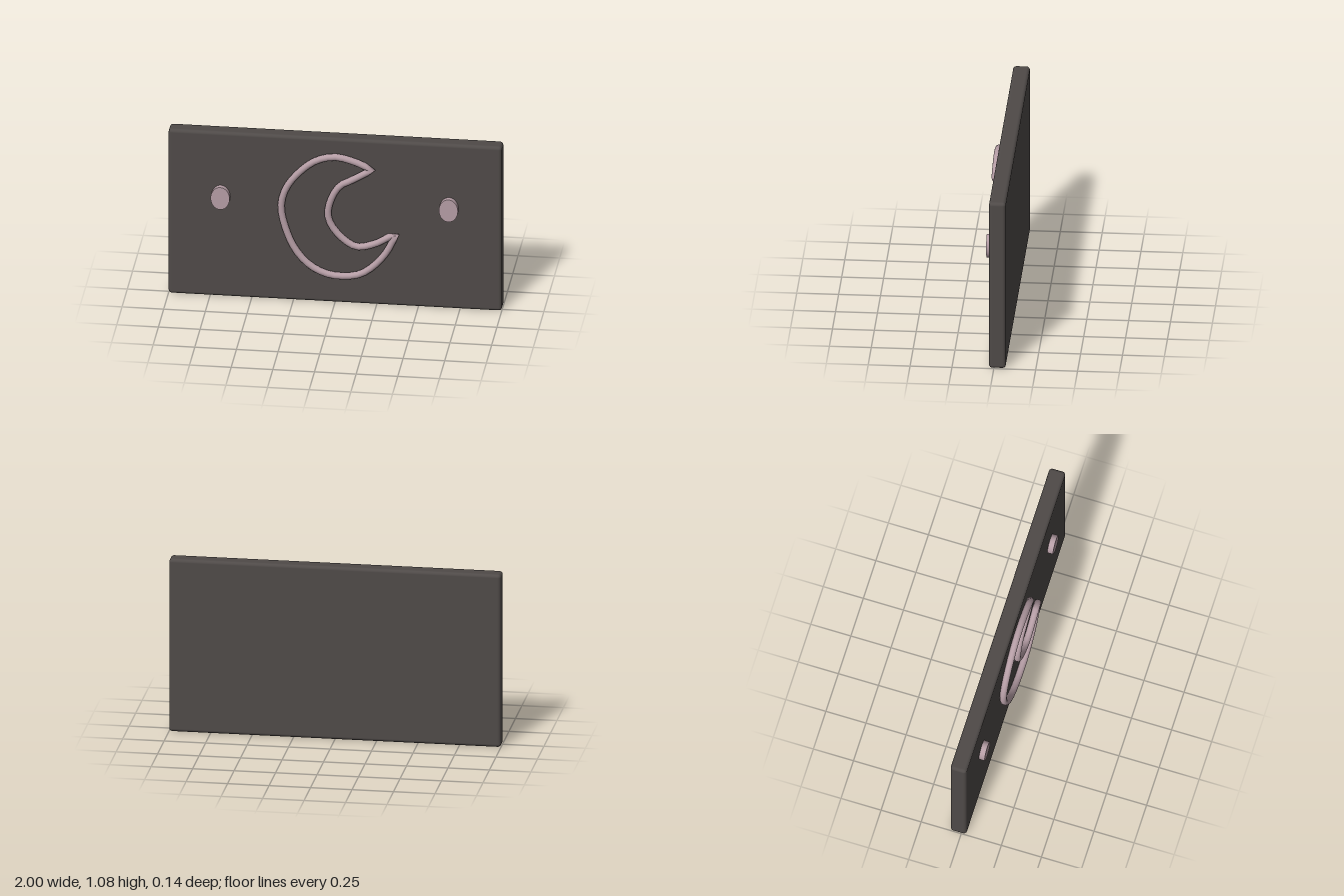
import * as THREE from 'three';
import { RoundedBoxGeometry } from 'three/addons/geometries/RoundedBoxGeometry.js';

const TUBE_RADIUS = 0.021;
const SIDES = 16;

// Evenly spaced samples along a smooth curve, without its last point
function sample(points, count) {
  const curve = new THREE.SplineCurve(points.map(([x, y]) => new THREE.Vector2(x, y)));
  return curve.getSpacedPoints(count).slice(0, count);
}

// Closed round rail swept along two arcs that meet in pinched tips
function crescentGeometry(outer, inner) {
  const outerPath = sample(outer, 40);
  const path = [...outerPath, ...sample(inner, 24)];
  const n = path.length;
  const positions = [];
  const indices = [];
  path.forEach((p, i) => {
    const before = path[(i + n - 1) % n];
    const after = path[(i + 1) % n];
    const a = p.clone().sub(before).normalize();
    const b = after.clone().sub(p).normalize();
    const t = a.add(b).normalize();
    // The rings at the two tips lie level
    const isTip = i === 0 || i === outerPath.length;
    const side = isTip ? new THREE.Vector2(1, 0) : new THREE.Vector2(t.y, -t.x);
    for (let j = 0; j < SIDES; j++) {
      const angle = (j / SIDES) * Math.PI * 2;
      const r = TUBE_RADIUS * Math.cos(angle);
      positions.push(p.x + side.x * r, p.y + side.y * r, TUBE_RADIUS * Math.sin(angle));
      const k = (j + 1) % SIDES;
      const next = ((i + 1) % n) * SIDES;
      indices.push(i * SIDES + j, i * SIDES + k, next + j);
      indices.push(i * SIDES + k, next + k, next + j);
    }
  });
  const geometry = new THREE.BufferGeometry();
  geometry.setAttribute('position', new THREE.Float32BufferAttribute(positions, 3));
  geometry.setIndex(indices);
  geometry.computeVertexNormals();
  return geometry;
}

export function createModel() {
  const model = new THREE.Group();
  model.name = 'crescentPlaque';

  const charcoal = new THREE.MeshStandardMaterial({ color: 0x4f4a48 });
  charcoal.name = 'charcoal';
  const dustyPink = new THREE.MeshStandardMaterial({ color: 0xb59da5, side: THREE.DoubleSide });
  dustyPink.name = 'dustyPink';

  const add = (name, geometry, material, x, y, z) => {
    const mesh = new THREE.Mesh(geometry, material);
    mesh.name = name;
    mesh.position.set(x, y, z);
    model.add(mesh);
    return mesh;
  };

  // Backing board with softened edges
  add('board', new RoundedBoxGeometry(2, 1.08, 0.1, 4, 0.02), charcoal, 0, 0.54, -0.02);

  // Raised crescent outline
  const upperTip = [0.224, 0.895];
  const lowerTip = [0.367, 0.478];
  const outer = [
    upperTip, [0.13, 0.94], [0, 0.968], [-0.125, 0.93], [-0.235, 0.83], [-0.3, 0.725],
    [-0.32, 0.607], [-0.285, 0.457], [-0.23, 0.34], [-0.15, 0.25], [-0.055, 0.2],
    [0.04, 0.187], [0.15, 0.205], [0.24, 0.27], [0.315, 0.365], lowerTip,
  ];
  const inner = [
    lowerTip, [0.33, 0.463], [0.25, 0.415], [0.145, 0.385], [0.07, 0.418], [0, 0.49],
    [-0.035, 0.56], [-0.037, 0.63], [-0.01, 0.715], [0.035, 0.783], [0.1, 0.82], upperTip,
  ];
  add('crescent', crescentGeometry(outer, inner), dustyPink, 0, 0, 0.05);

  // Oval studs on either side
  for (const [name, side] of [['leftStud', 1], ['rightStud', -1]]) {
    const geometry = new THREE.CylinderGeometry(1, 1, 0.04, 32).rotateX(Math.PI / 2);
    geometry.scale(0.057, 0.073, 1);
    add(name, geometry, dustyPink, side * 0.685, 0.66, 0.045);
  }

  return model;
}
